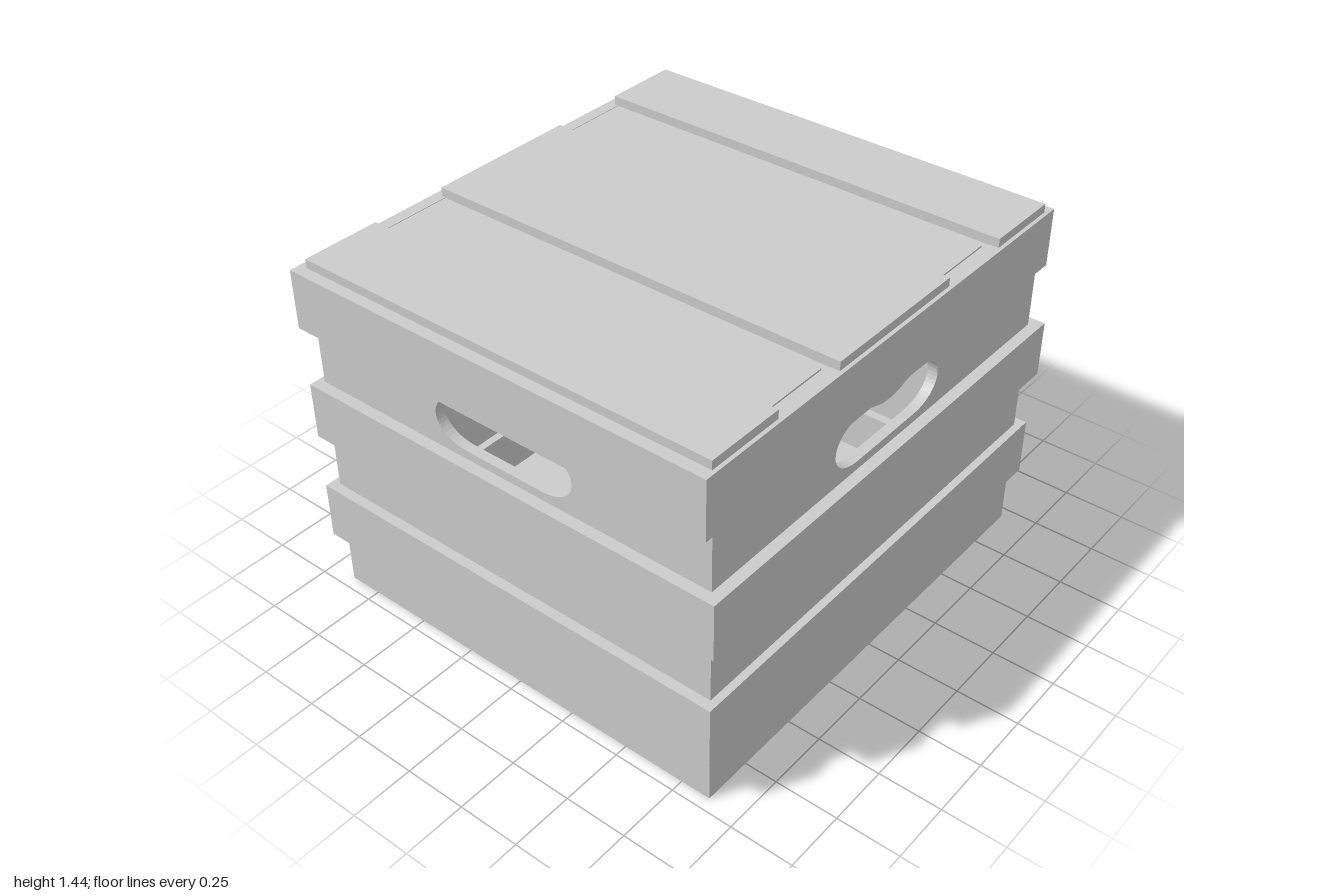
import * as THREE from 'three';

const material = new THREE.MeshStandardMaterial({ color: 0xcccccc });

function add(parent, name, geometry) {
  const mesh = new THREE.Mesh(geometry, material);
  mesh.name = name;
  parent.add(mesh);
  return mesh;
}

// Box given by its limits on each axis
function board(parent, name, x0, x1, y0, y1, z0, z1) {
  const mesh = add(parent, name, new THREE.BoxGeometry(x1 - x0, y1 - y0, z1 - z0));
  mesh.position.set((x0 + x1) / 2, (y0 + y1) / 2, (z0 + z1) / 2);
}

function rectangle(target, x0, x1, y0, y1) {
  target.moveTo(x0, y0);
  target.lineTo(x1, y0);
  target.lineTo(x1, y1);
  target.lineTo(x0, y1);
  target.closePath();
  return target;
}

// Closed band of slats running round the crate
function slatBand(parent, name, x0, x1, z, y0, y1, t) {
  const shape = rectangle(new THREE.Shape(), x0, x1, -z, z);
  shape.holes.push(rectangle(new THREE.Path(), x0 + t, x1 - t, -z + t, z - t));
  const geometry = new THREE.ExtrudeGeometry(shape, { depth: y1 - y0, bevelEnabled: false });
  geometry.rotateX(-Math.PI / 2);
  add(parent, name, geometry).position.y = y0;
}

// Hand hole: rounded ends, flat bottom and a dip in the top edge
function handHole() {
  const p = new THREE.Path();
  p.moveTo(-0.17, 0.965);
  p.lineTo(0.165, 0.965);
  p.bezierCurveTo(0.25, 0.965, 0.303, 1.01, 0.303, 1.06);
  p.bezierCurveTo(0.303, 1.115, 0.25, 1.156, 0.165, 1.156);
  p.bezierCurveTo(0.1, 1.156, 0.07, 1.125, -0.003, 1.125);
  p.bezierCurveTo(-0.076, 1.125, -0.1, 1.156, -0.17, 1.156);
  p.bezierCurveTo(-0.255, 1.156, -0.308, 1.115, -0.308, 1.06);
  p.bezierCurveTo(-0.308, 1.01, -0.255, 0.965, -0.17, 0.965);
  return p;
}

function handlePanel(parent, name, a0, a1, t) {
  const shape = rectangle(new THREE.Shape(), a0, a1, 0.93, 1.17);
  shape.holes.push(handHole());
  return add(parent, name, new THREE.ExtrudeGeometry(shape, {
    depth: t, bevelEnabled: false, curveSegments: 10,
  }));
}

export function createModel() {
  const crate = new THREE.Group();
  crate.name = 'crate';
  const X0 = -0.885, X1 = 0.87, Z = 0.95, T = 0.04;

  // Walls: recessed and projecting bands in turn
  slatBand(crate, 'bottomInnerBand', X0, X1, Z, 0, 0.23, T);
  slatBand(crate, 'lowerOuterBand', -0.918, 0.9, 0.99, 0.23, 0.465, T);
  slatBand(crate, 'middleInnerBand', X0, X1, Z, 0.465, 0.7, T);
  slatBand(crate, 'middleOuterBand', -0.912, 0.915, 0.995, 0.7, 0.93, 0.05);
  slatBand(crate, 'topOuterBand', -0.918, 0.885, 1, 1.17, 1.405, 0.05);

  // Upper recessed band with a hand hole in each side
  handlePanel(crate, 'frontHandlePanel', X0, X1, T).position.z = Z - T;
  handlePanel(crate, 'backHandlePanel', X0, X1, T).position.z = -Z;
  for (const [name, x] of [['leftHandlePanel', X1 - T], ['rightHandlePanel', X0]]) {
    const panel = handlePanel(crate, name, -Z + T, Z - T, T);
    panel.rotation.y = Math.PI / 2;
    panel.position.x = x;
  }

  board(crate, 'floor', X0 + T, X1 - T, 0, 0.04, -Z + T, Z - T);

  // Lid: base plate, three raised boards and two thin ones between
  const lid = new THREE.Group();
  lid.name = 'lid';
  crate.add(lid);
  board(lid, 'lidPlate', -0.87, 0.836, 1.365, 1.403, -0.951, 0.951);
  for (const [z0, z1] of [[-0.955, -0.64], [-0.32, 0.315], [0.635, 0.955]])
    board(lid, 'raisedLidBoard', X0, X1, 1.38, 1.44, z0, z1);
  for (const [z0, z1] of [[-0.61, -0.355], [0.345, 0.605]])
    board(lid, 'thinLidBoard', -0.84, 0.82, 1.38, 1.41, z0, z1);

  return crate;
}
